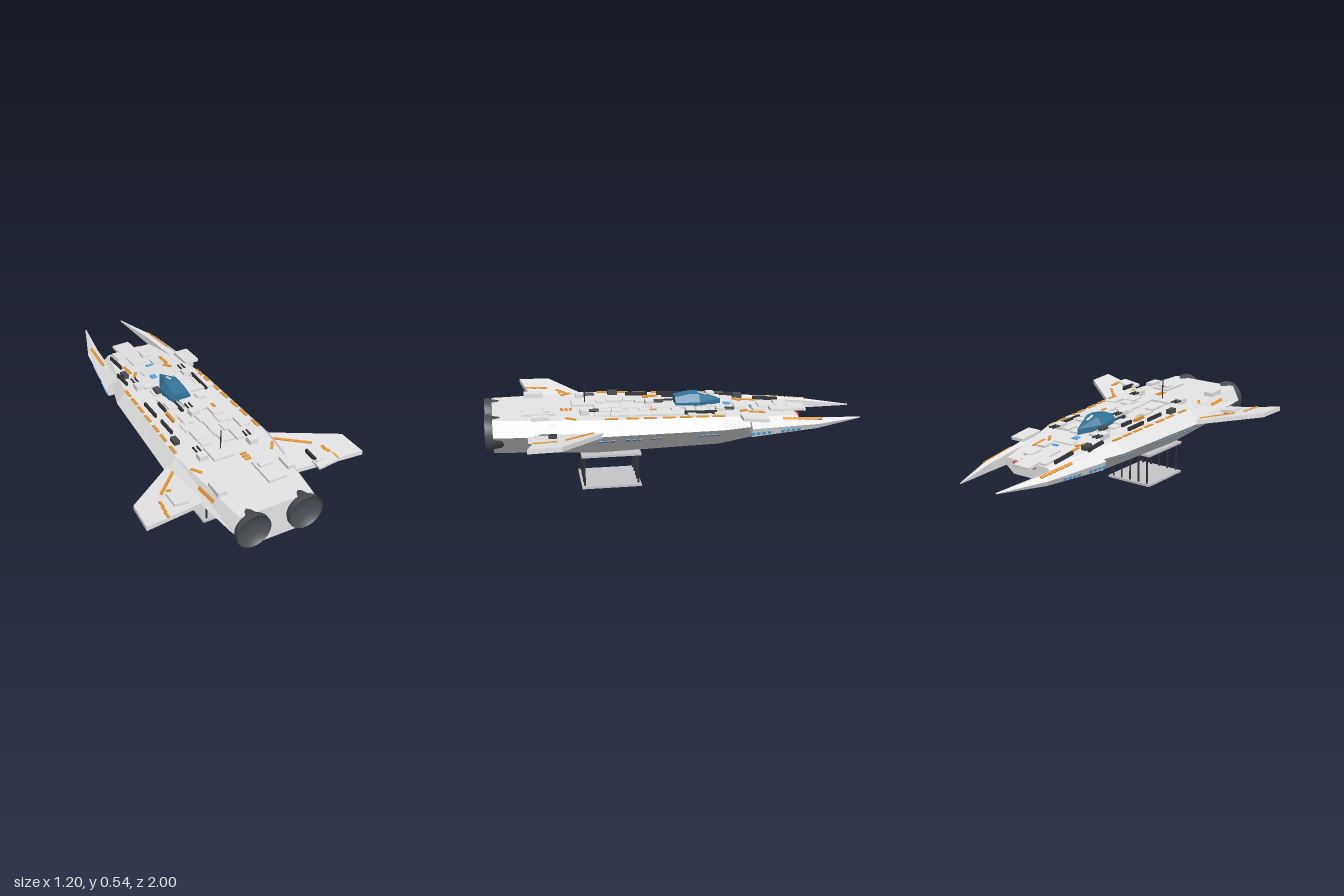
import * as THREE from 'three';

const mat = (name, color, extra = {}) => Object.assign(new THREE.MeshStandardMaterial({ color, ...extra }), { name });
const M = {
  hull: mat('hull grey', 0xe6e6e6, { flatShading: true }),
  dark: mat('dark metal', 0x323538),
  engine: mat('engine grey', 0x4a4e53, { side: THREE.DoubleSide }),
  orange: mat('orange marking', 0xec9c38),
  glass: mat('canopy blue', 0x33759a, { flatShading: true }),
  light: mat('window blue', 0x5cacE6),
  red: mat('red light', 0xd84c4c),
  steel: mat('platform steel', 0xc6c6c8),
};

// Hull stations along z: deck half-width and height, widest line, belly
const STATIONS = [
  { z: -0.65, d: 0.13, t: 0.347, m: 0.155, my: 0.322, b: 0.09, by: 0.27 },
  { z: -0.22, d: 0.225, t: 0.392, m: 0.275, my: 0.335, b: 0.125, by: 0.21 },
  { z: 0.42, d: 0.25, t: 0.415, m: 0.31, my: 0.345, b: 0.14, by: 0.203 },
  { z: 0.96, d: 0.2, t: 0.423, m: 0.24, my: 0.345, b: 0.113, by: 0.222 },
];
function station(z) {
  let i = 0;
  while (i < STATIONS.length - 2 && z > STATIONS[i + 1].z) i++;
  const a = STATIONS[i], c = STATIONS[i + 1], f = (z - a.z) / (c.z - a.z), out = {};
  for (const k in a) out[k] = a[k] + (c[k] - a[k]) * f;
  return { ...out, slope: (c.t - a.t) / (c.z - a.z), flare: (c.d - a.d) / (c.z - a.z), swell: (c.m - a.m) / (c.z - a.z) };
}

// Skin between cross-sections (counter-clockwise seen from +z, z increasing), capped
function loft(rings) {
  const pos = [], n = rings[0].length;
  const tri = (...p) => p.forEach(v => pos.push(...v));
  for (let i = 0; i < rings.length - 1; i++) for (let j = 0; j < n; j++) {
    const k = (j + 1) % n, [r, s] = [rings[i], rings[i + 1]];
    tri(r[j], r[k], s[k]);
    tri(r[j], s[k], s[j]);
  }
  const a = rings[0], e = rings[rings.length - 1];
  for (let j = 1; j < n - 1; j++) {
    tri(a[0], a[j + 1], a[j]);
    tri(e[0], e[j], e[j + 1]);
  }
  const g = new THREE.BufferGeometry();
  g.setAttribute('position', new THREE.Float32BufferAttribute(pos, 3));
  g.computeVertexNormals();
  return g;
}

function add(parent, name, geo, material, x = 0, y = 0, z = 0) {
  const m = new THREE.Mesh(geo, material);
  m.name = name;
  m.position.set(x, y, z);
  parent.add(m);
  return m;
}
const box = (p, name, material, w, h, d, x, y, z) => add(p, name, new THREE.BoxGeometry(w, h, d), material, x, y, z);

// Box lying on the sloping deck
function onDeck(p, name, material, x, z, w, d, h) {
  const s = station(z);
  const m = box(p, name, material, w, h + 0.003, d, x, s.t + h / 2 - 0.0015, z);
  m.rotation.x = -Math.atan(s.slope);
  return m;
}

// Thin plate on a hull flank: upper bevel or lower slope, f runs from its top edge to its bottom edge
function onFlank(p, name, material, side, z, f, lower, tall, long) {
  const s = station(z);
  const [x0, y0, x1, y1] = lower ? [s.m, s.my, s.b, s.by] : [s.d, s.t, s.m, s.my];
  const m = box(p, name, material, tall, 0.006, long, side * (x0 + (x1 - x0) * f), y0 + (y1 - y0) * f, z);
  m.rotation.order = 'YXZ';
  m.rotation.set(0, side * Math.atan(lower ? s.swell : s.flare), side * Math.atan2(y1 - y0, x1 - x0));
}

const wingY = x => 0.321 + 0.14 * Math.abs(x);

// Seeded random number from 0 to 1
function seeded(seed) {
  return () => (seed = (seed * 16807) % 2147483647) / 2147483647;
}

export function createModel() {
  const root = new THREE.Group();
  root.name = 'starship';
  const group = name => { const g = new THREE.Group(); g.name = name; root.add(g); return g; };

  add(root, 'hull', loft(STATIONS.map(({ z, d, t, m, my, b, by }) =>
    [[-b, by, z], [b, by, z], [m, my, z], [d, t, z], [-d, t, z], [-m, my, z]])), M.hull);

  // Long forward prongs: z, inner x, outer x, ridge x, bottom, shoulder and top heights
  const PRONG = [
    [-1, 0.112, 0.118, 0.115, 0.312, 0.315, 0.318],
    [-0.74, 0.155, 0.215, 0.18, 0.296, 0.322, 0.346],
    [-0.37, 0.19, 0.275, 0.215, 0.284, 0.332, 0.376],
  ];
  const prongs = group('prongs');
  for (const side of [1, -1]) {
    const rings = PRONG.map(([z, i, o, r, b, s, t]) => {
      const ring = [[i, b], [o - (o - i) * 0.2, b], [o, s], [r, t], [i, t - (t - s) * 0.3]].map(([x, y]) => [side * x, y, z]);
      return side > 0 ? ring : ring.reverse();
    });
    add(prongs, 'prong', loft(rings), M.hull);
    for (const start of [-0.63, -0.465]) for (let k = 0; k < 4; k++) {
      const z = start + k * 0.03;
      box(prongs, 'prongWindow', M.light, 0.008, 0.017, 0.018, side * (0.226 + (z + 0.62) * 0.16), 0.304, z)
        .rotation.set(0, side * 0.16, -side * 0.35);
    }
    for (let k = 0; k < 4; k++)
      box(prongs, 'prongStripe', M.orange, 0.015, 0.005, 0.05, side * (0.186 + k * 0.005), 0.3435 + k * 0.0045, -0.74 + k * 0.055)
        .rotation.set(-0.08, side * 0.09, -side * 0.6);
  }

  // Swept wings with dihedral
  const wings = group('wings');
  for (const side of [1, -1]) {
    const shape = new THREE.Shape([[0.24, 0.37], [0.3, 0.41], [0.59, 0.635], [0.602, 0.8], [0.28, 0.725], [0.22, 0.71]]
      .map(([x, z]) => new THREE.Vector2(side * x, z)));
    const geo = new THREE.ExtrudeGeometry(shape, { depth: 0.024, bevelEnabled: false }).rotateX(Math.PI / 2);
    const p = geo.attributes.position;
    for (let i = 0; i < p.count; i++) p.setY(i, p.getY(i) + wingY(p.getX(i)));
    geo.computeVertexNormals();
    add(wings, 'wing', geo, M.hull);
    const onWing = (name, m, x, z, w, d, h, turn = 0) => {
      const b = box(wings, name, m, w, h, d, side * x, wingY(x) + h / 2 - 0.002, z);
      b.rotation.order = 'ZYX';
      b.rotation.set(0, side * turn, side * Math.atan(0.14));
    };
    for (let k = 0; k < 4; k++) onWing('wingStripe', M.orange, 0.305 + k * 0.036, 0.475 + k * 0.037, 0.015, 0.049, 0.006, 0.77);
    for (let k = 0; k < 3; k++) onWing('wingStripe', M.orange, 0.46 + k * 0.006, 0.67 + k * 0.04, 0.015, 0.04, 0.006);
    if (side > 0) {
      onWing('wingPanel', M.hull, 0.41, 0.755, 0.11, 0.07, 0.014);
      onWing('wingPanel', M.hull, 0.39, 0.72, 0.05, 0.06, 0.022);
      onWing('wingPipe', M.dark, 0.37, 0.69, 0.012, 0.09, 0.024);
    } else {
      onWing('wingPanel', M.hull, 0.37, 0.66, 0.08, 0.095, 0.016);
      onWing('wingStripe', M.orange, 0.38, 0.588, 0.025, 0.014, 0.006);
    }
  }

  // Twin engine bells with dished exhausts
  const engines = group('engines');
  const lathe = pts => new THREE.LatheGeometry(pts.map(([r, z]) => new THREE.Vector2(r, z)), 32).rotateX(Math.PI / 2);
  for (const side of [1, -1]) {
    add(engines, 'engineBell', lathe([[0, 0.89], [0.06, 0.9], [0.079, 0.915], [0.086, 0.965], [0.093, 0.975], [0.093, 1]]),
      M.engine, side * 0.143, 0.343);
    add(engines, 'exhaustDish', lathe([[0.093, 1], [0.08, 0.985], [0.05, 0.972], [0, 0.965]]), M.engine, side * 0.143, 0.343);
  }

  // Pointed canopy: z, base and roof half-widths, shoulder and roof heights
  const canopy = group('canopy');
  const CANOPY = [[-0.25, 0.004, 0.003, 0.42, 0.422], [-0.13, 0.062, 0.036, 0.425, 0.463], [-0.08, 0.061, 0.036, 0.425, 0.465], [0, 0.054, 0.034, 0.425, 0.452]];
  add(canopy, 'canopyGlass', loft(CANOPY.map(([z, b, r, s, y]) =>
    [[-b, 0.385, z], [b, 0.385, z], [b, s, z], [r, y, z], [-r, y, z], [-b, s, z]])), M.glass);
  box(canopy, 'canopySensor', M.hull, 0.012, 0.01, 0.05, 0, 0.455, -0.15).rotation.x = -0.33;

  // Main deck plates: x, z, width, depth, height
  const plating = group('deckPlating');
  [[-0.02, -0.67, 0.1, 0.1, 0.012], [-0.03, -0.6, 0.16, 0.08, 0.01], [0.05, -0.55, 0.05, 0.08, 0.014], [-0.02, -0.51, 0.08, 0.1, 0.008],
    [0.065, -0.44, 0.05, 0.06, 0.012], [0, -0.35, 0.12, 0.06, 0.006], [0.235, -0.39, 0.08, 0.14, 0.014], [-0.045, 0.485, 0.115, 0.12, 0.012],
    [0.1, 0.725, 0.1, 0.17, 0.012], [0.1, 0.685, 0.07, 0.035, 0.022], [-0.195, 0.74, 0.05, 0.1, 0.024], [0.205, 0.72, 0.04, 0.09, 0.018],
  ].forEach(a => onDeck(plating, 'deckPlate', M.hull, ...a));

  // Patchwork of smaller plates over the middle deck
  const rnd = seeded(11);
  for (let row = 0; row < 9; row++) for (const x of [-0.075, 0.03, 0.11, 0.17])
    onDeck(plating, 'smallPlate', M.hull, x + (rnd() - 0.5) * 0.03, -0.21 + row * 0.075 + (rnd() - 0.5) * 0.03,
      0.045 + rnd() * 0.04, 0.045 + rnd() * 0.06, 0.005 + rnd() * 0.009);

  // Dark conduits along the deck: x, z, length
  const conduits = group('conduits');
  for (const [x, z, l] of [[-0.135, -0.53, 0.14], [-0.185, -0.34, 0.12], [0.17, -0.115, 0.17], [-0.042, 0.05, 0.1],
    [-0.185, 0.005, 0.13], [-0.12, 0.01, 0.08], [-0.18, 0.18, 0.12]]) onDeck(conduits, 'conduit', M.dark, x, z, 0.012, l, 0.018);
  for (const [x, z] of [[-0.155, -0.375], [-0.075, -0.135], [-0.2, 0.31]]) onDeck(conduits, 'vent', M.engine, x, z, 0.03, 0.05, 0.024);

  // Twin-barrel turrets facing -z
  const turrets = group('turrets');
  for (const [x, z] of [[0.143, 0.49], [-0.143, 0.49], [0.143, -0.22], [-0.143, -0.22], [0, 0.135]]) {
    onDeck(turrets, 'turretBase', M.hull, x, z, 0.046, 0.045, 0.028);
    for (const o of [-0.011, 0.011])
      add(turrets, 'turretBarrel', new THREE.CylinderGeometry(0.005, 0.005, 0.06, 8), M.dark, x + o, station(z).t + 0.02, z - 0.045)
        .rotation.x = Math.PI / 2;
  }
  add(root, 'mast', new THREE.CylinderGeometry(0.003, 0.003, 0.12, 8), M.dark, -0.03, 0.48, 0.475);

  // Orange markings on the deck and its edges
  const markings = group('markings');
  for (let k = 0; k < 3; k++) onDeck(markings, 'deckStripe', M.orange, 0.055, 0.555 + k * 0.023, 0.034, 0.015, 0.005);
  onDeck(markings, 'raisedStripe', M.orange, -0.125, 0.115, 0.013, 0.08, 0.016);
  onDeck(markings, 'raisedStripe', M.orange, 0.12, 0.13, 0.016, 0.035, 0.016);
  for (const side of [1, -1]) {
    onDeck(markings, 'deckStripe', M.orange, side * 0.112, -0.43, 0.015, 0.09, 0.005);
    onDeck(markings, 'deckStripe', M.orange, side * 0.1, -0.36, 0.015, 0.05, 0.007).rotation.y = side * 0.6;
    onDeck(markings, 'deckStripe', M.orange, side * 0.215, 0.565, 0.015, 0.06, 0.005).rotation.y = -side * 0.6;
    for (const z of [-0.2, -0.115, -0.03, 0.06, 0.16, 0.25, 0.36])
      onDeck(markings, 'edgeStripe', M.orange, side * (station(z).d - 0.009), z, 0.015, 0.065, 0.005).rotation.y = side * Math.atan(station(z).flare);
    for (const z of [0.68, 0.745]) onFlank(markings, 'bevelStripe', M.orange, side, z, 0.4, false, 0.018, 0.06);
    // Window rows on the lower flanks
    for (const [z, n] of [[0.495, 3], [0.355, 3], [0.215, 3], [0.115, 2], [-0.2, 4]])
      for (let k = 0; k < n; k++) onFlank(markings, 'window', M.light, side, z + k * 0.031, 0.3, true, 0.02, 0.02);
  }
  onDeck(markings, 'deckLight', M.light, 0.015, -0.415, 0.035, 0.014, 0.006);
  onDeck(markings, 'deckLight', M.light, -0.02, -0.29, 0.032, 0.035, 0.006);
  for (const x of [0.065, 0.02, -0.012, -0.044]) box(markings, 'noseLight', M.red, 0.028, 0.014, 0.02, x, 0.334, -0.658);

  // Boarding platform hung beneath the belly
  const platform = group('platform');
  for (const y of [0.006, 0.179]) box(platform, 'platformPlate', M.steel, 0.28, 0.012, 0.315, 0, y, 0.353);
  for (const z of [0.21, 0.495]) for (let k = -2; k <= 2; k++)
    add(platform, 'platformPost', new THREE.CylinderGeometry(0.005, 0.005, 0.168, 8), M.dark, k * 0.0575, 0.0925, z);

  return root;
}
